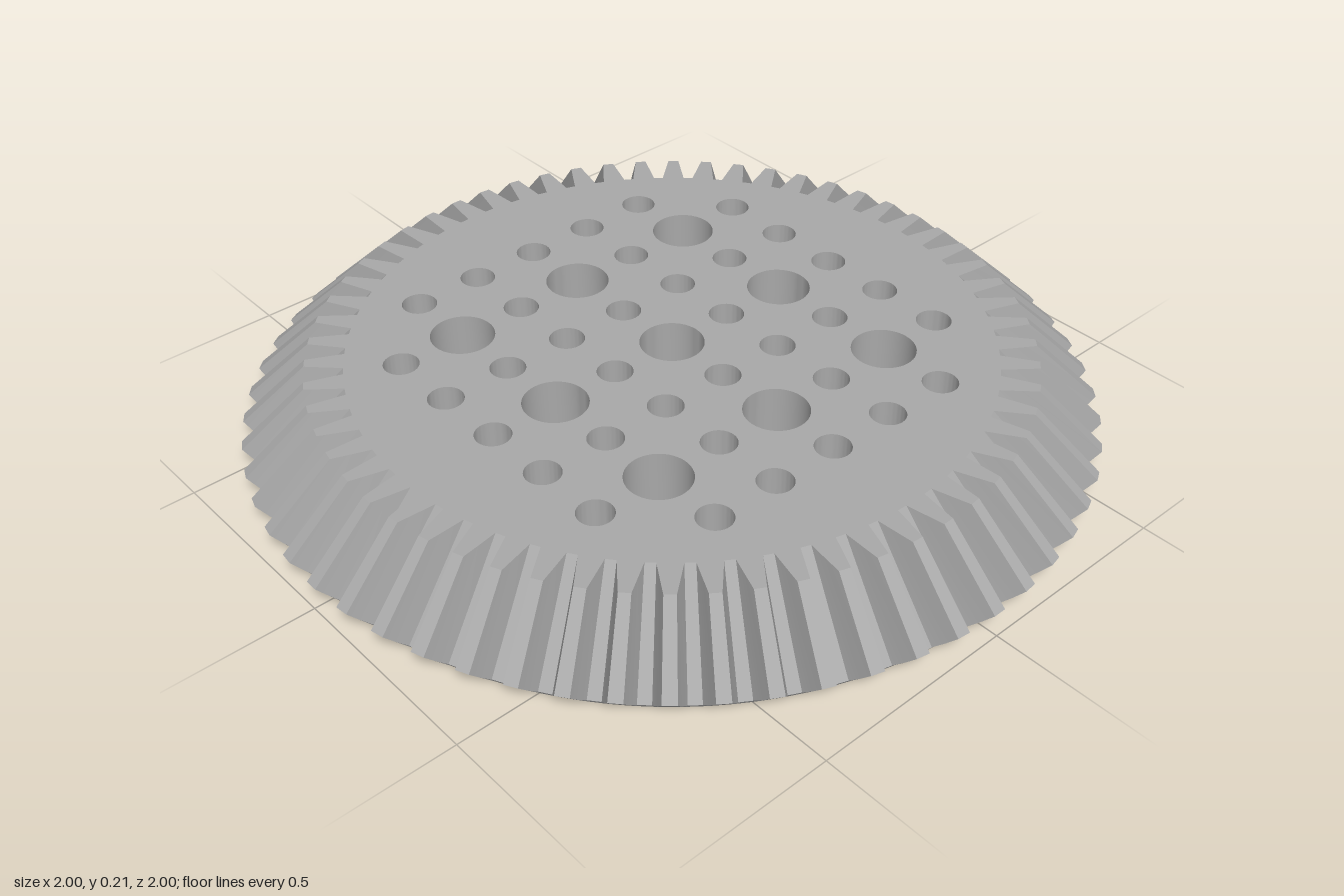
import * as THREE from 'three';
import { toCreasedNormals } from 'three/addons/utils/BufferGeometryUtils.js';

const TEETH = 60;
const HEIGHT = 0.21;
const HOLE_PITCH = 0.173;
const BOTTOM_RADIUS = 0.942;

// Tooth section from root to tip: half width in tooth pitches,
// radius on the top face, then radius and height at the wide end
const SECTION = [
  { half: 0.35, top: 0.755, wide: 0.95, y: 0.012 },
  { half: 0.235, top: 0.805, wide: 0.975, y: 0.037 },
  { half: 0.15, top: 0.845, wide: 1.0, y: 0.065 },
];

// Toothed outline of the top face
function gearOutline() {
  const flank = SECTION.map((s) => [-s.half, s.top]);
  const tooth = [...flank, ...flank.slice().reverse().map(([a, r]) => [-a, r])];
  const points = [];
  for (let i = 0; i < TEETH; i++) {
    for (const [offset, r] of tooth) {
      const a = ((i + offset) / TEETH) * Math.PI * 2;
      points.push(new THREE.Vector2(r * Math.cos(a), r * Math.sin(a)));
    }
  }
  return new THREE.Shape(points);
}

// Square grid of holes without its corners; nine of them are large
function addHoles(shape) {
  for (let i = -3; i <= 3; i++) {
    for (let j = -3; j <= 3; j++) {
      if (Math.abs(i) === 3 && Math.abs(j) === 3) continue;
      const large = i % 2 === 0 && j % 2 === 0;
      const hole = new THREE.Path();
      hole.absarc(i * HOLE_PITCH, j * HOLE_PITCH, large ? 0.076 : 0.042, 0, Math.PI * 2, true);
      shape.holes.push(hole);
    }
  }
}

// Spread the lower layers of the rim into bevelled teeth on a round base
function bevelRim(geometry) {
  const pos = geometry.attributes.position;
  for (let i = 0; i < pos.count; i++) {
    const x = pos.getX(i), y = pos.getY(i), z = pos.getZ(i);
    const r = Math.hypot(x, y);
    const layer = Math.round((z / HEIGHT) * 2);
    if (r < 0.72 || layer === 2) continue;
    const s = SECTION.find((p) => Math.abs(p.top - r) < 0.01);
    const k = (layer === 0 ? BOTTOM_RADIUS : s.wide) / r;
    pos.setXYZ(i, x * k, y * k, layer === 0 ? 0 : s.y);
  }
}

export function createModel() {
  const grey = new THREE.MeshStandardMaterial({ color: 0xa8a8a8 });
  grey.name = 'grey';

  const shape = gearOutline();
  addHoles(shape);
  const geometry = new THREE.ExtrudeGeometry(shape, {
    depth: HEIGHT, steps: 2, bevelEnabled: false, curveSegments: 24,
  });
  bevelRim(geometry);
  geometry.rotateX(-Math.PI / 2);

  const gear = new THREE.Mesh(toCreasedNormals(geometry, 0.3), grey);
  gear.name = 'bevelGear';

  const model = new THREE.Group();
  model.name = 'perforatedBevelGear';
  model.add(gear);
  return model;
}
